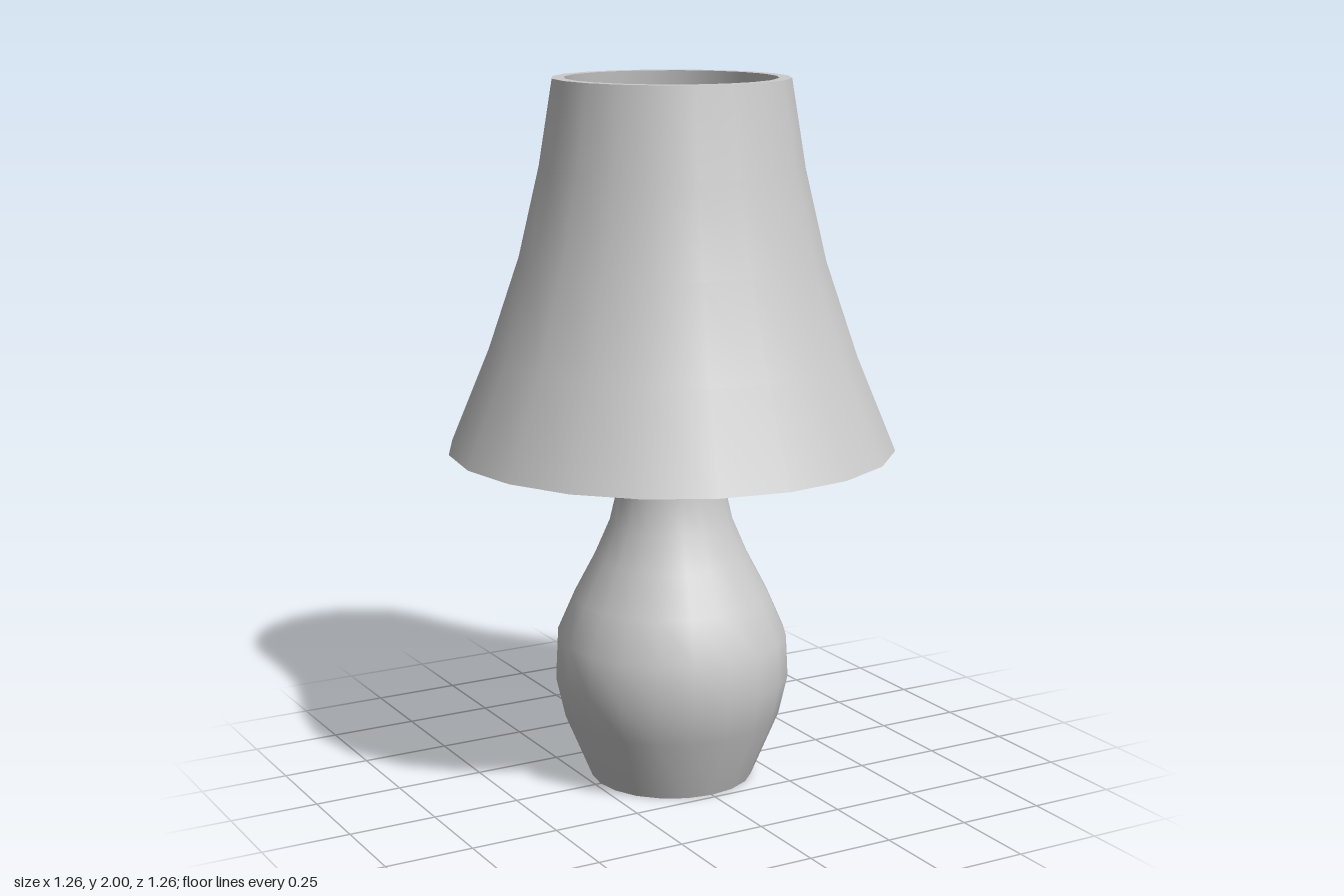
import * as THREE from 'three';
import { mergeGeometries } from 'three/addons/utils/BufferGeometryUtils.js';

const SIDES = 20;
const material = new THREE.MeshStandardMaterial({ color: 0xcccccc });

// Turns several [radius, y] runs into one mesh; each run is smooth, edges between runs stay sharp
function turned(name, runs) {
  const parts = runs.map(run =>
    new THREE.LatheGeometry(run.map(([r, y]) => new THREE.Vector2(r, y)), SIDES));
  const mesh = new THREE.Mesh(mergeGeometries(parts), material);
  mesh.name = name;
  return mesh;
}

export function createModel() {
  const lamp = new THREE.Group();
  lamp.name = 'tableLamp';

  // Vase-shaped base with a narrow neck, closed at both ends
  const body = [
    [0.233, 0], [0.31, 0.185], [0.336, 0.3], [0.33, 0.42], [0.28, 0.535], [0.22, 0.65],
    [0.177, 0.75], [0.156, 0.84], [0.147, 0.95], [0.147, 1.08],
  ];
  lamp.add(turned('base', [
    [[0, 0], body[0]],
    body,
    [body[body.length - 1], [0, 1.08]],
  ]));

  // Flared open shade with thick walls and flat rims
  const outer = [[0.63, 0.97], [0.52, 1.235], [0.43, 1.5], [0.37, 1.755], [0.33, 2]];
  const inner = [[0.295, 2], [0.333, 1.755], [0.39, 1.5], [0.468, 1.235], [0.56, 0.97]];
  lamp.add(turned('shade', [
    outer,
    [outer[4], inner[0]],
    inner,
    [inner[4], outer[0]],
  ]));

  return lamp;
}
